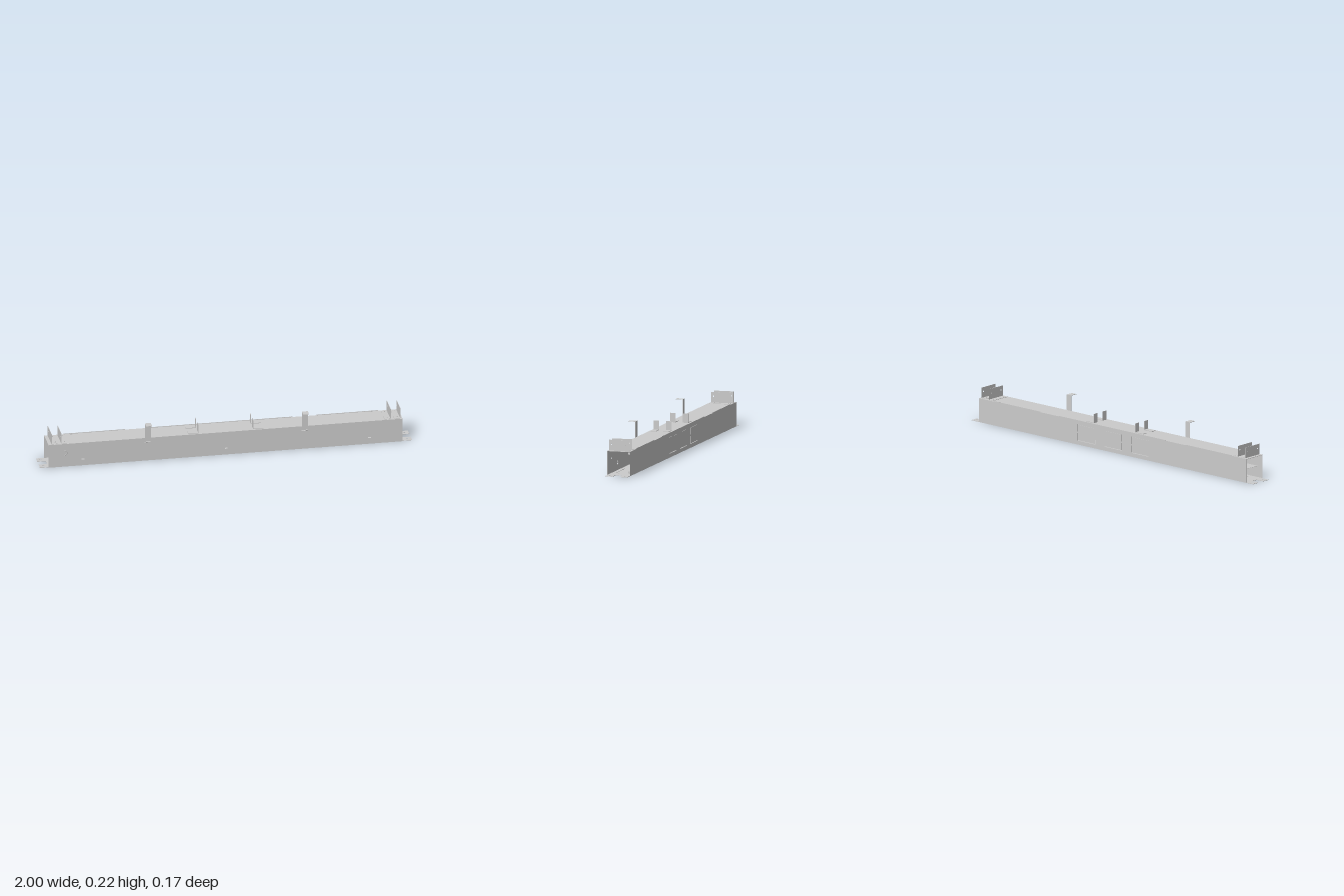
import * as THREE from 'three';

const T = 0.002; // sheet thickness
const X0 = -0.955, X1 = 0.948, Z0 = -0.083, Z1 = 0.045, H = 0.13;
const mat = new THREE.MeshStandardMaterial({ color: 0xcccccc, side: THREE.DoubleSide });

const rectHole = (u, v, w, h) => new THREE.Path([
  [u - w / 2, v - h / 2], [u - w / 2, v + h / 2], [u + w / 2, v + h / 2], [u + w / 2, v - h / 2],
].map(p => new THREE.Vector2(...p)));

const roundHole = (u, v, r) => new THREE.Path().absarc(u, v, r, 0, Math.PI * 2, true);

// Sheet normal to an axis: 'z' uses (x, y), 'y' uses (x, z) with its top at 'at',
// 'x' uses (z, y).
function sheet(name, axis, at, u0, v0, u1, v1, holes = [], t = T) {
  const s = new THREE.Shape([[u0, v0], [u1, v0], [u1, v1], [u0, v1]].map(p => new THREE.Vector2(...p)));
  s.holes = holes;
  const g = new THREE.ExtrudeGeometry(s, { depth: t, bevelEnabled: false, curveSegments: 8 });
  if (axis === 'y') g.rotateX(Math.PI / 2).translate(0, at, 0);
  else if (axis === 'x') g.rotateY(-Math.PI / 2).translate(at + t / 2, 0, 0);
  else g.translate(0, 0, at);
  const m = new THREE.Mesh(g, mat);
  m.name = name;
  return m;
}

function box(name, w, h, d, x, y, z) {
  const m = new THREE.Mesh(new THREE.BoxGeometry(w, h, d), mat);
  m.position.set(x, y, z);
  m.name = name;
  return m;
}

function screw(x, y, z) {
  const m = new THREE.Mesh(new THREE.CylinderGeometry(0.005, 0.006, 0.003, 12), mat);
  m.position.set(x, y, z);
  m.name = 'screwHead';
  return m;
}

export function createModel() {
  const model = new THREE.Group();
  const add = (...parts) => model.add(...parts);
  const clipX = [-0.77, 0, 0.77], hangerX = [-0.422, 0.422];
  const knockX = [-0.197, -0.007, 0.183], accessX = [-0.79, 0.79];

  // Four walls of the open-ended housing
  add(sheet('frontWall', 'z', Z1 - T, X0, 0, X1, H, [
    ...clipX.map(x => rectHole(x, 0.036, 0.016, 0.006)),
    ...hangerX.map(x => rectHole(x, 0.105, 0.042, 0.006)),
    roundHole(0.87, 0.08, 0.006),
  ]));
  add(sheet('backWall', 'z', Z0, X0, 0, X1, H, knockX.map(x => rectHole(x, 0.066, 0.126, 0.09))));
  add(sheet('topWall', 'y', H, X0, Z0 + T, X1, Z1 - T,
    [-0.81, 0.805].map(x => roundHole(x, -0.073, 0.005))));
  add(sheet('bottomWall', 'y', T, X0, Z0 + T, X1, Z1 - T, [
    ...accessX.map(x => rectHole(x, -0.02, 0.18, 0.085)),
    ...[-0.45, -0.15, 0.15, 0.45].map(x => roundHole(x, -0.066, 0.004)),
  ]));

  // Knockout panels held by small bridges
  for (const x of knockX) {
    add(sheet('knockoutPanel', 'z', Z0, x - 0.06, 0.024, x + 0.06, 0.108));
    for (const s of [-1, 1]) add(box('knockoutBridge', 0.008, 0.008, T, x + s * 0.062, 0.066, Z0 + T / 2));
  }
  for (const x of accessX) {
    add(sheet('accessPanel', 'y', T, x - 0.087, -0.0595, x + 0.087, 0.0195));
    for (const s of [-1, 1]) add(box('accessBridge', 0.008, T, 0.008, x + s * 0.089, T / 2, -0.02));
  }

  // Raised seams along the back top edge
  for (const [a, b] of [[-0.85, -0.52], [-0.38, 0.38], [0.51, 0.84]])
    add(box('topSeam', b - a, 0.003, 0.002, (a + b) / 2, H + 0.0015, Z0 + 0.001));

  for (const s of [-1, 1]) {
    // Pairs of upright end plates with screwed feet
    for (const x of [0.885, 0.937]) {
      const bracket = new THREE.Group();
      bracket.name = 'endBracket';
      bracket.add(sheet('endPlate', 'x', s * x, -0.073, H + 0.002, 0.037, 0.188,
        [roundHole(0.022, 0.165, 0.004), roundHole(-0.058, 0.165, 0.004)]));
      bracket.add(box('endPlateFoot', 0.032, T, 0.11, s * (x - 0.016), H + T / 2, -0.018));
      for (const z of [-0.06, 0.015]) bracket.add(screw(s * (x - 0.018), H + 0.0035, z));
      add(bracket);
    }

    // Mounting feet at floor level
    const end = s < 0 ? X0 : X1;
    for (const z of [-0.062, 0.02])
      add(sheet('mountingFoot', 'y', T, Math.min(end - s * 0.04, s), z - 0.021,
        Math.max(end - s * 0.04, s), z + 0.021, [roundHole(s * 0.978, z, 0.006)]));

    // Bent tabs inside the back wall
    for (const y of [0.016, 0.1175]) {
      add(sheet('innerTab', 'x', s * 0.93, Z0 + T, y - 0.006, -0.066, y + 0.006));
      add(box('innerTabBase', 0.03, 0.012, T, s * 0.915, y, Z0 + 1.5 * T));
    }

    // Small angle clips on the top
    for (const z of [-0.05, 0.02]) {
      const clip = new THREE.Group();
      clip.name = 'topAngleClip';
      clip.add(box('clipUpright', T, 0.05, 0.03, s * 0.148, H + 0.025, z));
      clip.add(box('clipFoot', 0.055, 0.003, 0.03, s * 0.175, H + 0.0015, z));
      add(clip);
    }
  }

  // Front hangers with a forward flange and a tongue through the slot
  for (const x of hangerX) {
    const hanger = new THREE.Group();
    hanger.name = 'hanger';
    hanger.add(box('hangerStrap', 0.032, 0.104, T, x, 0.163, Z1 + T / 2));
    hanger.add(box('hangerFlange', 0.032, T, 0.041, x, 0.214, Z1 + 0.0205));
    const tongue = box('hangerTongue', 0.032, T, 0.016, x, 0.11, 0.038);
    tongue.rotation.x = Math.PI / 4;
    hanger.add(tongue);
    add(hanger);
  }

  // Inward spring clips behind the front wall
  for (const x of clipX) {
    const clip = box('springClip', 0.014, 0.018, T, x, 0.045, 0.0405);
    clip.rotation.x = 0.3;
    add(clip);
  }

  // Curved hook on the front and the inner shelf behind it
  const hook = new THREE.Mesh(new THREE.TorusGeometry(0.013, 0.002, 6, 16, Math.PI), mat);
  hook.name = 'frontHook';
  hook.rotation.z = -Math.PI / 2;
  hook.position.set(-0.87, 0.079, Z1 + 0.002);
  add(hook);
  add(box('innerShelf', 0.1, 0.001, 0.086, -0.87, 0.063, 0));

  return model;
}
